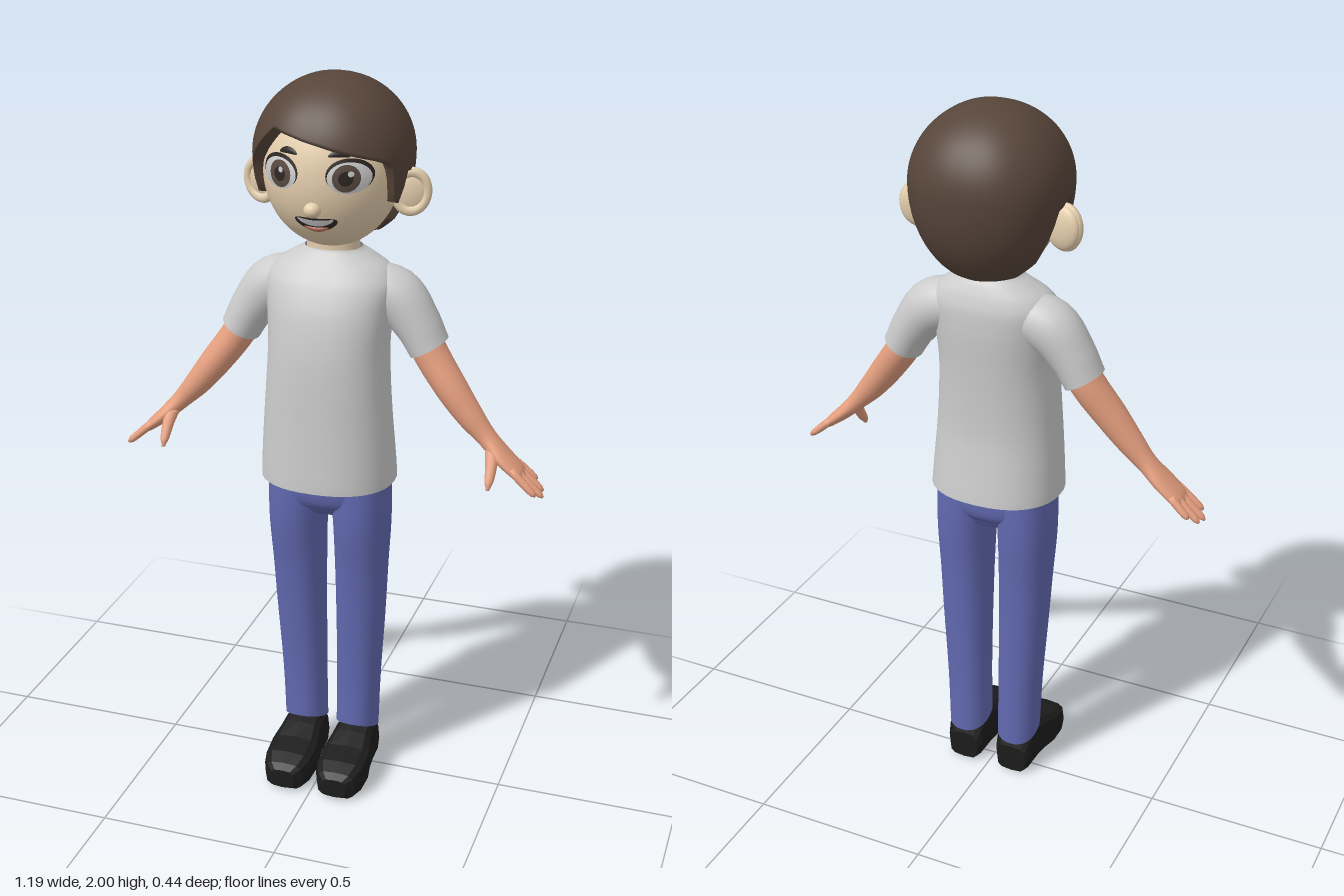
import * as THREE from 'three';

const COLORS = {
  shirt: 0xcccccc, jeans: 0x6169b0, arm: 0xe6a080, face: 0xe6cfae, hair: 0x57453a, shoe: 0x1c1c1c,
  white: 0xc4c4c4, dark: 0x2e2622, iris: 0x5a4a42, lip: 0xc07868,
};
const materials = {};
for (const key in COLORS) {
  materials[key] = new THREE.MeshStandardMaterial({ color: COLORS[key], side: THREE.DoubleSide });
}
materials.shoe.flatShading = true;

function part(parent, name, geometry, color) {
  const mesh = new THREE.Mesh(geometry, materials[color]);
  mesh.name = name;
  parent.add(mesh);
  return mesh;
}

// Surface closed around its columns, from a rule giving the point at (row, column)
function grid(rows, cols, rule) {
  const pos = [], index = [];
  for (let i = 0; i <= rows; i++) {
    for (let j = 0; j < cols; j++) {
      pos.push(...rule(i, j));
      if (i === rows) continue;
      const a = i * cols + j, b = i * cols + (j + 1) % cols;
      index.push(a, a + cols, b, b, a + cols, b + cols);
    }
  }
  const g = new THREE.BufferGeometry();
  g.setAttribute('position', new THREE.Float32BufferAttribute(pos, 3));
  g.setIndex(index);
  g.computeVertexNormals();
  return g;
}

const soft = (v, power) => Math.sign(v) * Math.pow(Math.abs(v), 2 / power);

// Loft through sections [x, y, z, radius across, radius in z]
function loft(sections, { sub = 5, cols = 28, power = 2, cap = false } = {}) {
  const path = new THREE.CatmullRomCurve3(sections.map(s => new THREE.Vector3(s[0], s[1], s[2])));
  const radii = new THREE.SplineCurve(sections.map(s => new THREE.Vector2(s[3], s[4])));
  const n = (sections.length - 1) * sub, extra = cap ? 1 : 0;
  const zAxis = new THREE.Vector3(0, 0, 1);
  return grid(n + 2 * extra, cols, (i, j) => {
    const k = THREE.MathUtils.clamp(i - extra, 0, n);
    const closed = k !== i - extra ? 0 : 1;
    const c = path.getPoint(k / n), r = radii.getPoint(k / n);
    const u = path.getTangent(k / n).cross(zAxis).normalize();
    const a = (j / cols) * Math.PI * 2;
    const p = soft(Math.cos(a), power) * r.x * closed;
    return [c.x + u.x * p, c.y + u.y * p, c.z + soft(Math.sin(a), power) * r.y * closed];
  });
}

// Section from [y, half width, front z, back z]
const level = ([y, w, front, back], x = 0) => [x, y, (front + back) / 2, w, (front - back) / 2];

// Face ellipsoid, shared by the head and everything laid on it
const HEAD = { y: 1.76, rx: 0.178, ry: 0.2, rz: 0.165 };
const faceZ = (x, y) =>
  HEAD.rz * Math.sqrt(Math.max(0, 1 - (x / HEAD.rx) ** 2 - ((y - HEAD.y) / HEAD.ry) ** 2));

// Oval patch lying on the face, optionally curved or domed
function facePatch(cx, cy, rx, ry, lift, bend = 0, dome = 0) {
  const g = new THREE.RingGeometry(0, 1, 32, 6);
  const p = g.attributes.position;
  for (let i = 0; i < p.count; i++) {
    const px = p.getX(i), py = p.getY(i);
    const x = cx + px * rx, y = cy + py * ry + bend * px * px;
    p.setXYZ(i, x, y, faceZ(x, y) + lift + dome * (1 - px * px - py * py));
  }
  g.computeVertexNormals();
  return g;
}

// Hairline height by angle: 0 is the front, positive towards +x
const HAIRLINE = [
  [-180, 1.565], [-125, 1.58], [-108, 1.62], [-100, 1.76], [-84, 1.77], [-78, 1.69], [-69, 1.7],
  [-62, 1.78], [-45, 1.84], [-32, 1.885], [-10, 1.87], [15, 1.845], [45, 1.82], [62, 1.8],
  [68, 1.7], [78, 1.69], [84, 1.77], [100, 1.76], [108, 1.62], [125, 1.58], [180, 1.565],
];
function hairline(deg) {
  const i = Math.max(1, HAIRLINE.findIndex(h => h[0] >= deg));
  const [a, ya] = HAIRLINE[i - 1], [b, yb] = HAIRLINE[i];
  return ya + (yb - ya) * (deg - a) / (b - a);
}

function hairGeometry() {
  const rows = 28, cols = 120;
  return grid(rows + 1, cols, (i, j) => {
    const deg = -180 + (360 * j) / cols, a = THREE.MathUtils.degToRad(deg);
    const edge = hairline(deg) - 1.8;
    const end = Math.acos(edge / (edge > 0 ? 0.2 : 0.27));
    const phi = end * Math.min(1, i / rows);
    const y = 1.8 + Math.cos(phi) * (Math.cos(phi) > 0 ? 0.2 : 0.27);
    // The last row turns in towards the scalp
    const r = 0.205 * Math.sin(phi) * (i > rows ? 0.78 : 1);
    return [soft(Math.sin(a), 2.25) * r, y, -0.02 + soft(Math.cos(a), 2.25) * r];
  });
}

function buildHead(root) {
  const head = new THREE.Group();
  head.name = 'head';
  root.add(head);
  const skull = new THREE.SphereGeometry(1, 48, 32).scale(HEAD.rx, HEAD.ry, HEAD.rz);
  part(head, 'face', skull.translate(0, HEAD.y, 0), 'face');
  part(head, 'hair', hairGeometry(), 'hair');
  part(head, 'neck', loft([[0, 1.5, -0.015, 0.078, 0.06], [0, 1.56, -0.01, 0.07, 0.055],
    [0, 1.64, -0.01, 0.08, 0.06]]), 'face');
  part(head, 'nose', new THREE.SphereGeometry(1, 20, 14).scale(0.022, 0.02, 0.022)
    .translate(0, 1.69, 0.158), 'face');

  for (const s of [1, -1]) {
    const x = s * 0.09;
    part(head, 'eyelid', facePatch(x, 1.78, 0.054, 0.043, 0.003, 0, 0.003), 'dark');
    part(head, 'eyeWhite', facePatch(x, 1.775, 0.05, 0.039, 0.005, 0, 0.004), 'white');
    part(head, 'iris', facePatch(x - s * 0.004, 1.775, 0.032, 0.034, 0.009, 0, 0.002), 'iris');
    part(head, 'pupil', facePatch(x - s * 0.004, 1.775, 0.017, 0.018, 0.012), 'dark');
    part(head, 'eyeGlint', facePatch(x + 0.008, 1.787, 0.007, 0.007, 0.014), 'white');
    part(head, 'eyebrow', facePatch(s * 0.066, 1.834, 0.026, 0.008, 0.004, -0.006, 0.003), 'dark');

    // Ear: flattened shell with a raised rim
    const ear = new THREE.Group();
    ear.name = 'ear';
    ear.position.set(s * 0.2, 1.708, -0.035);
    ear.rotation.set(0, s * 0.25, -s * 0.12);
    part(ear, 'earShell', new THREE.SphereGeometry(1, 24, 16).scale(0.05, 0.058, 0.02), 'face');
    part(ear, 'earRim', new THREE.TorusGeometry(0.044, 0.012, 10, 32).scale(0.95, 1.15, 1)
      .translate(0, 0, 0.01), 'face');
    head.add(ear);
  }

  part(head, 'mouth', facePatch(0.003, 1.648, 0.056, 0.019, 0.003, 0.012), 'dark');
  part(head, 'teeth', facePatch(0.003, 1.653, 0.048, 0.009, 0.006, 0.011), 'white');
  part(head, 'lowerLip', facePatch(0.003, 1.634, 0.032, 0.007, 0.005, 0.007, 0.005), 'lip');
}

function buildArm(root, s) {
  const arm = new THREE.Group();
  arm.name = s > 0 ? 'leftArm' : 'rightArm';
  root.add(arm);
  const limb = (name, sections, options, color = 'arm') =>
    part(arm, name, loft(sections.map(([x, ...rest]) => [s * x, ...rest]), options), color);

  limb('sleeve', [[0.07, 1.455, -0.015, 0.065, 0.07], [0.165, 1.432, -0.02, 0.073, 0.074],
    [0.225, 1.365, -0.018, 0.062, 0.068], [0.262, 1.3, -0.016, 0.055, 0.065]], {}, 'shirt');
  limb('forearm', [[0.21, 1.39, -0.015, 0.045, 0.05], [0.265, 1.29, -0.01, 0.045, 0.053],
    [0.33, 1.2, 0.005, 0.042, 0.047], [0.385, 1.13, 0.012, 0.035, 0.038],
    [0.43, 1.08, 0.015, 0.026, 0.032], [0.475, 1.035, 0.02, 0.021, 0.045],
    [0.52, 0.996, 0.022, 0.015, 0.046], [0.535, 0.982, 0.022, 0.008, 0.04]], { cap: true });

  // Fingers as [root z, tip z, tip distance along the hand]
  const fingers = [[-0.014, -0.02, 0.045], [0.009, 0.004, 0.067], [0.033, 0.034, 0.073], [0.056, 0.062, 0.058]];
  for (const [z0, z1, d] of fingers) {
    const at = (f, r) => [0.518 + d * f, 1 - 0.88 * d * f, z0 + (z1 - z0) * f, r * 0.9, r];
    limb('finger', [at(-0.2, 0.012), at(0.5, 0.0115), at(0.88, 0.0095), at(1, 0.004)],
      { cols: 12, sub: 3, cap: true });
  }
  limb('thumb', [[0.45, 1.06, 0.03, 0.02, 0.022], [0.456, 1.02, 0.06, 0.016, 0.018],
    [0.457, 0.985, 0.085, 0.012, 0.014], [0.457, 0.966, 0.097, 0.005, 0.006]], { cols: 14, cap: true });
}

function buildLeg(root, s) {
  const leg = new THREE.Group();
  leg.name = s > 0 ? 'leftLeg' : 'rightLeg';
  root.add(leg);
  const g = loft([
    level([0.96, 0.08, 0.118, -0.085], s * 0.085), level([0.8, 0.076, 0.115, -0.085], s * 0.092),
    level([0.65, 0.071, 0.095, -0.075], s * 0.09), level([0.5, 0.067, 0.08, -0.07], s * 0.087),
    level([0.3, 0.061, 0.066, -0.066], s * 0.081), level([0.13, 0.059, 0.064, -0.066], s * 0.077),
  ], { power: 2.3 });
  // Hem rises towards the front
  const p = g.attributes.position;
  for (let i = 0; i < p.count; i++) {
    const near = THREE.MathUtils.clamp((0.25 - p.getY(i)) / 0.12, 0, 1);
    p.setY(i, p.getY(i) + p.getZ(i) * 0.38 * near);
  }
  g.computeVertexNormals();
  part(leg, 'trouserLeg', g, 'jeans');

  // Shoe cross-sections as [z, half width, bottom, top], lofted upright then laid forward
  const shoe = [[-0.055, 0.045, 0, 0.085], [-0.042, 0.054, 0, 0.12], [0.02, 0.058, 0, 0.145],
    [0.06, 0.062, 0, 0.132], [0.11, 0.072, 0, 0.112], [0.17, 0.07, 0, 0.098],
    [0.205, 0.055, 0, 0.082], [0.22, 0.034, 0.01, 0.066]];
  part(leg, 'shoe', loft(shoe.map(([z, w, b, t]) => [s * 0.077, z, -(b + t) / 2, w, (t - b) / 2]),
    { sub: 1, cols: 12, power: 3.6, cap: true }).rotateX(Math.PI / 2), 'shoe');
}

export function createModel() {
  const root = new THREE.Group();
  root.name = 'standingFigure';

  part(root, 'shirt', loft([
    [0.92, 0.183, 0.175, -0.13], [1.0, 0.179, 0.172, -0.118], [1.1, 0.172, 0.168, -0.105],
    [1.2, 0.165, 0.165, -0.104], [1.3, 0.161, 0.158, -0.108], [1.4, 0.168, 0.138, -0.114],
    [1.47, 0.175, 0.108, -0.112], [1.51, 0.15, 0.08, -0.1], [1.54, 0.1, 0.055, -0.085],
    [1.555, 0.076, 0.045, -0.072],
  ].map(v => level(v)), { cols: 40, power: 2.3 }), 'shirt');

  part(root, 'hips', loft([
    [1.0, 0.16, 0.12, -0.085], [0.92, 0.169, 0.125, -0.09], [0.86, 0.155, 0.115, -0.085],
    [0.82, 0.09, 0.08, -0.06],
  ].map(v => level(v)), { cols: 40, power: 2.4, cap: true }), 'jeans');

  for (const s of [1, -1]) {
    buildArm(root, s);
    buildLeg(root, s);
  }
  buildHead(root);
  return root;
}
